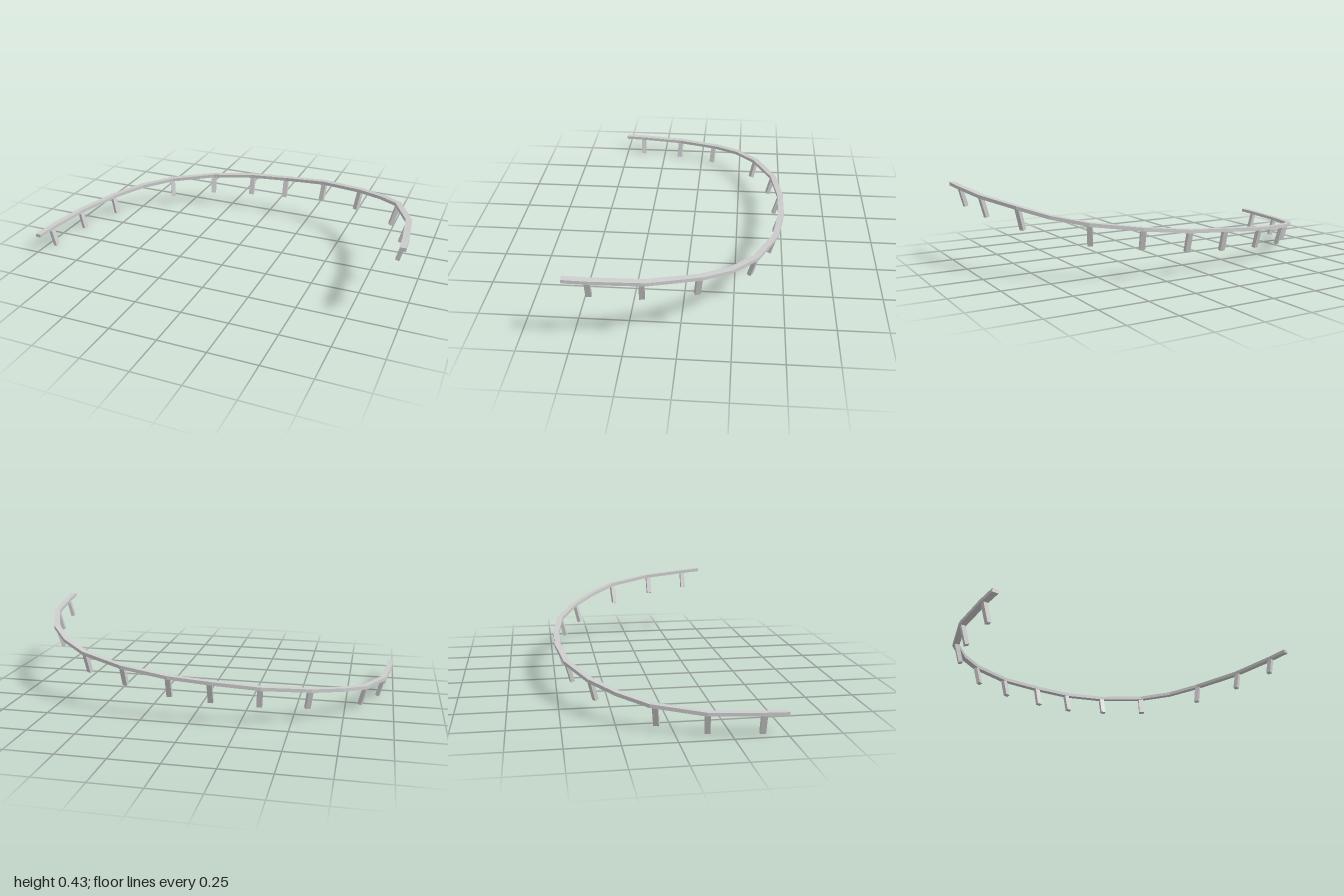
import * as THREE from 'three';

const UP = new THREE.Vector3(0, 1, 0);
const LEAN = 0.27; // tilt of the posts towards the inside, radians

// Half plan of the arch (x, z), from the open end to the middle, with
// the rail height on the low (-x) side and on the high (+x) side
const STATIONS = [
  [0.984, 0.5, 0.104, 0.418],
  [0.975, 0.38, 0.104, 0.408],
  [0.943, 0.14, 0.105, 0.388],
  [0.845, -0.1, 0.123, 0.357],
  [0.735, -0.235, 0.147, 0.321],
  [0.588, -0.35, 0.169, 0.29],
  [0.352, -0.45, 0.194, 0.26],
  [0.108, -0.484, 0.217, 0.232],
];

// Level unit vector square to a direction, pointing out of the arch
const outward = (d) => new THREE.Vector3(d.z, 0, -d.x).normalize();

// Level direction at a joint, halfway between the segments that meet there
function jointDirection(path, i) {
  const before = path[i].clone().sub(path[Math.max(i - 1, 0)]).setY(0).normalize();
  const after = path[Math.min(i + 1, path.length - 1)].clone().sub(path[i]).setY(0).normalize();
  return before.add(after);
}

// Rectangular section swept along the polyline with mitred joints
function railGeometry(path, width, height) {
  const corners = [[-1, -1], [1, -1], [1, 1], [-1, 1]];
  const position = [], index = [];
  path.forEach((p, i) => {
    const out = outward(jointDirection(path, i));
    for (const [a, b] of corners) {
      const v = p.clone().addScaledVector(out, a * width / 2).addScaledVector(UP, b * height / 2);
      position.push(v.x, v.y, v.z);
    }
    if (i === 0) return;
    for (let k = 0; k < 4; k++) {
      const a = (i - 1) * 4 + k, b = (i - 1) * 4 + (k + 1) % 4;
      index.push(a, b, b + 4, a, b + 4, a + 4);
    }
  });
  const e = (path.length - 1) * 4;
  index.push(0, 2, 1, 0, 3, 2, e, e + 1, e + 2, e, e + 2, e + 3);
  const indexed = new THREE.BufferGeometry();
  indexed.setAttribute('position', new THREE.Float32BufferAttribute(position, 3));
  indexed.setIndex(index);
  const geometry = indexed.toNonIndexed();
  geometry.computeVertexNormals();
  return geometry;
}

export function createModel() {
  const group = new THREE.Group();
  group.name = 'curvedHandrail';
  const material = new THREE.MeshStandardMaterial({ color: 0xcccccc, flatShading: true });

  // Rail path from the low end round to the high end
  const path = [
    ...STATIONS.map(([x, z, low]) => new THREE.Vector3(-x, low, z)),
    ...STATIONS.map(([x, z, , high]) => new THREE.Vector3(x, high, z)).reverse(),
  ];
  const rail = new THREE.Mesh(railGeometry(path, 0.031, 0.018), material);
  rail.name = 'rail';
  group.add(rail);

  // Posts: place along the path (segment number plus fraction) and length
  const posts = [
    [0.92, 0.105], [2, 0.105], [2.92, 0.105], [5, 0.105], [6, 0.106], [7.01, 0.114],
    [7.99, 0.112], [9, 0.106], [10, 0.112], [12.02, 0.118], [13.06, 0.113], [14.08, 0.105],
  ];
  posts.forEach(([s, length], n) => {
    const i = Math.floor(s);
    const direction = Number.isInteger(s) ? jointDirection(path, i) : path[i + 1].clone().sub(path[i]);
    const out = outward(direction);
    const along = new THREE.Vector3().crossVectors(out, UP);
    const geometry = new THREE.BoxGeometry(0.02, length, 0.027).translate(0, -length / 2, 0);
    const post = new THREE.Mesh(geometry, material);
    post.name = `post${n + 1}`;
    post.position.lerpVectors(path[i], path[i + 1], s - i);
    post.quaternion.setFromRotationMatrix(new THREE.Matrix4().makeBasis(out, UP, along));
    post.rotateZ(-LEAN);
    group.add(post);
  });
  return group;
}
